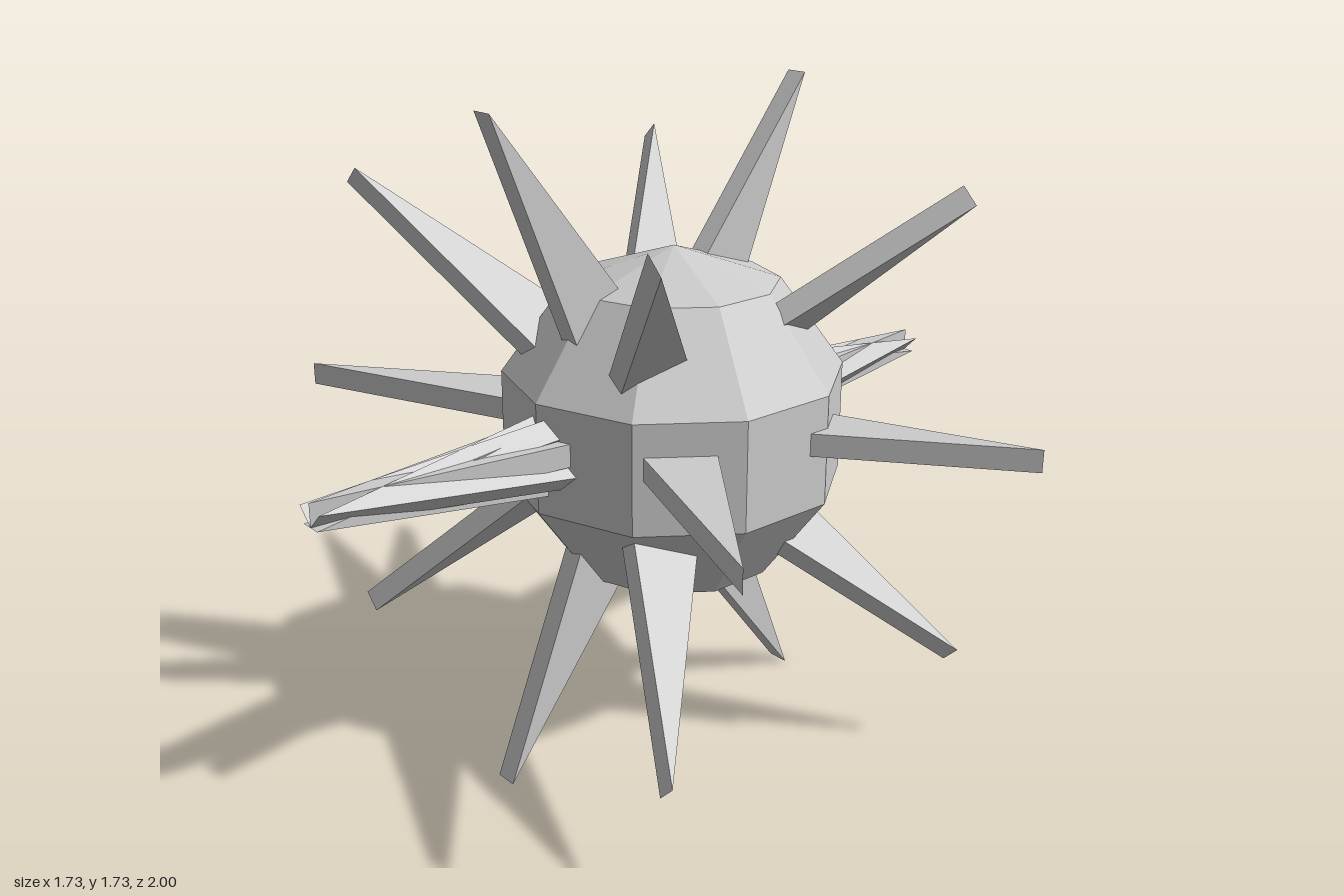
import * as THREE from 'three';

const CENTER_Y = 0.87;
const THICK = 0.06;

// Six-pointed star plate lying in the XZ plane, with points on +z and -z
function starPlateGeometry() {
  const points = [];
  for (let i = 0; i < 12; i++) {
    const r = i % 2 ? 0.23 : 1;
    const a = (i * Math.PI) / 6;
    points.push(new THREE.Vector2(r * Math.sin(a), r * Math.cos(a)));
  }
  const geometry = new THREE.ExtrudeGeometry(new THREE.Shape(points), {
    depth: THICK,
    bevelEnabled: false,
  });
  return geometry.rotateX(-Math.PI / 2); // thickness runs from y = 0 up
}

export function createModel() {
  const group = new THREE.Group();
  const material = new THREE.MeshStandardMaterial({ color: 0xcccccc, flatShading: true });

  // Faceted ball, a little behind the centre of the spikes
  const ball = new THREE.Mesh(new THREE.SphereGeometry(0.47, 10, 5), material);
  ball.name = 'body';
  ball.rotation.y = Math.PI / 2;
  ball.position.set(0, CENTER_Y, -0.075);
  group.add(ball);

  // Four star plates fanned around the z axis form all the spikes
  const plate = starPlateGeometry();
  const fans = [
    { name: 'spikesLevel', angle: 0, shift: 0 },
    { name: 'spikesRisingLeft', angle: Math.PI / 4, shift: 0 },
    { name: 'spikesRisingRight', angle: -Math.PI / 4, shift: 0 },
    { name: 'spikesUpright', angle: Math.PI / 2, shift: THICK / 2 },
  ];
  for (const { name, angle, shift } of fans) {
    const spikes = new THREE.Mesh(plate, material);
    spikes.name = name;
    spikes.rotation.z = angle;
    spikes.position.set(shift, CENTER_Y, 0);
    group.add(spikes);
  }

  return group;
}
